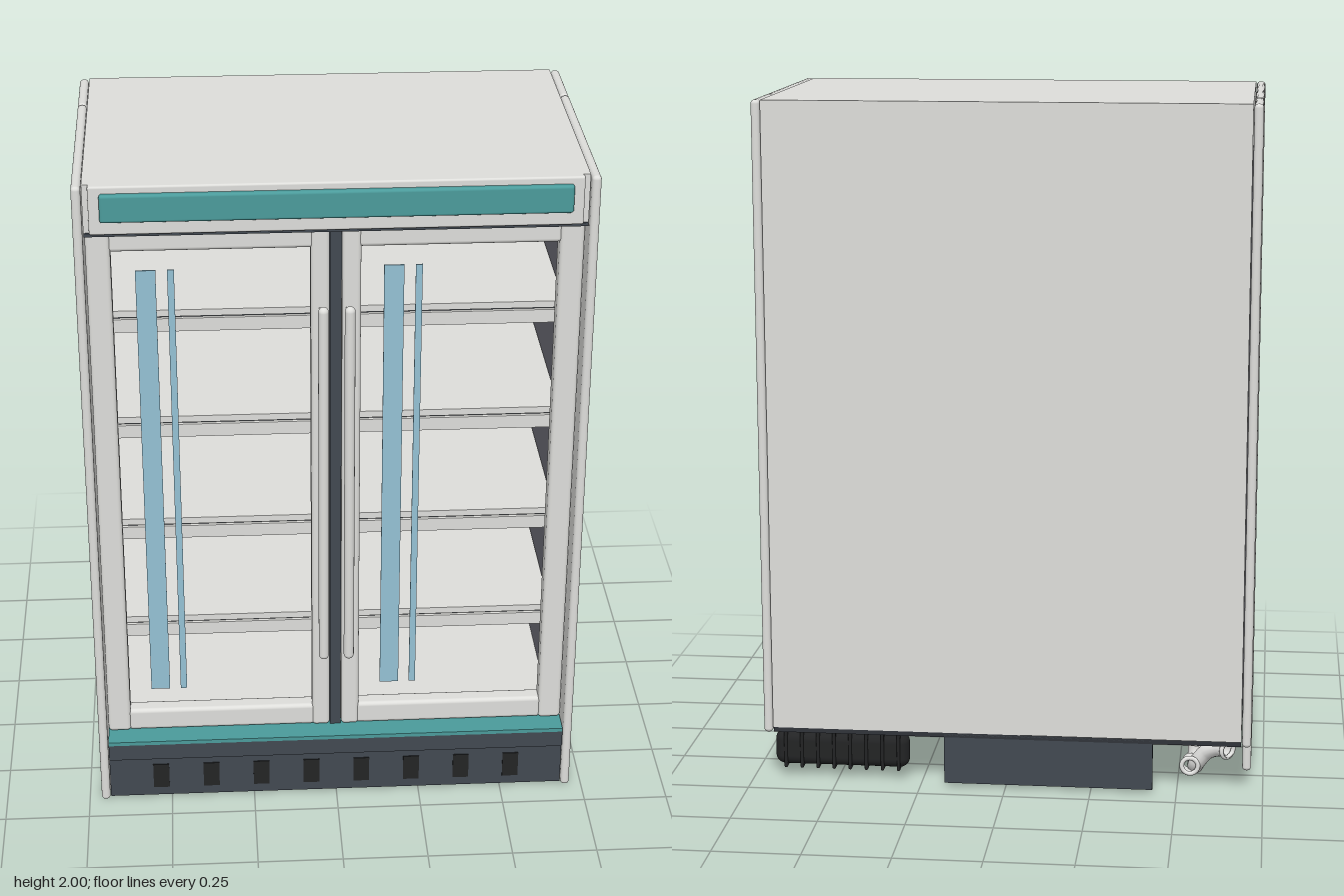
import * as THREE from 'three';
import { RoundedBoxGeometry } from 'three/addons/geometries/RoundedBoxGeometry.js';

const mat = (name, color, side = THREE.FrontSide) => {
  const m = new THREE.MeshStandardMaterial({ color, side });
  m.name = name;
  return m;
};

export function createModel() {
  const model = new THREE.Group();
  model.name = 'displayFridge';
  const shell = mat('shell grey', 0xdededb);
  const liner = mat('liner grey', 0x71717a);
  const teal = mat('teal', 0x4b9b9b);
  const kick = mat('slate', 0x424951);
  const charcoal = mat('charcoal', 0x30343a);
  const black = mat('black', 0x232425);
  const shine = mat('glass shine', 0x94c1d4);
  const plastic = mat('pipe white', 0xe4e4e2, THREE.DoubleSide);

  const add = (name, geo, material, parent = model) => {
    const mesh = new THREE.Mesh(geo, material);
    mesh.name = name;
    parent.add(mesh);
    return mesh;
  };
  // Box given by its limits, with optional rounded edges
  const box = (name, material, [x0, x1], [y0, y1], [z0, z1], r = 0, parent = model) => {
    const s = [x1 - x0, y1 - y0, z1 - z0];
    const geo = r ? new RoundedBoxGeometry(...s, 3, r) : new THREE.BoxGeometry(...s);
    geo.translate((x0 + x1) / 2, (y0 + y1) / 2, (z0 + z1) / 2);
    return add(name, geo, material, parent);
  };
  const tube = (name, material, points, r) => {
    const curve = new THREE.CatmullRomCurve3(points.map(p => new THREE.Vector3(...p)), false, 'centripetal');
    return add(name, new THREE.TubeGeometry(curve, 48, r, 14), material);
  };

  // Cabinet shell
  box('backPanel', shell, [-0.686, 0.686], [0.165, 2], [-0.434, -0.39]);
  box('roof', shell, [-0.686, 0.686], [1.86, 2], [-0.39, 0.4]);
  box('headerFront', shell, [-0.67, 0.67], [1.86, 2], [0.39, 0.418], 0.006);
  box('headerSign', teal, [-0.64, 0.64], [1.9, 1.98], [0.41, 0.434], 0.008);
  box('headerTrim', kick, [-0.685, 0.685], [1.85, 1.86], [0.28, 0.405]);
  box('base', charcoal, [-0.685, 0.685], [0.15, 0.19], [-0.43, 0.36]);
  for (const s of [-1, 1]) {
    const x = s < 0 ? [-0.714, -0.688] : [0.688, 0.714];
    box('sidePanelFront', shell, x, [0, 2], [-0.2165, 0.42], 0.011);
    box('sidePanelRear', shell, x, [0.148, 2], [-0.434, -0.2175], 0.011);
  }

  // Interior lining, open at the front
  box('linerBack', liner, [-0.66, 0.66], [0.19, 1.86], [-0.39, -0.38]);
  box('linerTop', liner, [-0.66, 0.66], [1.85, 1.859], [-0.38, 0.28]);
  for (const s of [-1, 1])
    box('linerSide', liner, s < 0 ? [-0.685, -0.65] : [0.65, 0.685], [0.19, 1.86], [-0.39, 0.3]);
  box('interiorFloor', shell, [-0.65, 0.65], [0.19, 0.25], [-0.38, 0.29]);

  // Shelves with a price rail
  for (let i = 0; i < 4; i++) {
    const y = 0.566 + i * 0.335;
    box('shelf', shell, [-0.648, 0.648], [y - 0.02, y], [-0.38, 0.282]);
    box('shelfGroove', kick, [-0.645, 0.645], [y - 0.025, y - 0.02], [0.25, 0.275]);
    box('shelfRail', shell, [-0.648, 0.648], [y - 0.065, y - 0.025], [0.25, 0.285]);
  }

  // Two doors, mirrored, with handles; the shine strips lie the same way on both
  for (const s of [-1, 1]) {
    const door = new THREE.Group();
    door.name = s < 0 ? 'rightDoor' : 'leftDoor';
    model.add(door);
    const span = (a, b) => (s < 0 ? [-b, -a] : [a, b]);
    const z = [0.295, 0.357], y = [0.207, 1.849];
    box('outerStile', shell, span(0.618, 0.686), y, z, 0.012, door);
    box('innerStile', shell, span(0.017, 0.07), y, z, 0.012, door);
    box('topRail', shell, span(0.06, 0.625), [1.78, 1.849], [0.3, 0.353], 0.012, door);
    box('bottomRail', shell, span(0.06, 0.625), [0.207, 0.278], [0.3, 0.353], 0.012, door);
    const bar = add('handle', new THREE.CapsuleGeometry(0.015, 1.12, 6, 16), shell, door);
    bar.position.set(s * 0.037, 1.045, 0.394);
    const hx = span(0.027, 0.047);
    for (const py of [0.5, 1.59])
      box('handlePost', shell, hx, [py - 0.012, py + 0.012], [0.35, 0.394], 0, door);
    const left = s < 0 ? -0.553 : 0.135;
    box('wideShine', shine, [left, left + 0.056], [0.34, 1.715], [0.328, 0.332], 0, door);
    box('narrowShine', shine, [left + 0.088, left + 0.107], [0.34, 1.715], [0.328, 0.332], 0, door);
  }
  box('centreStrip', kick, [-0.016, 0.016], [0.206, 1.85], [0.29, 0.35]);

  // Kick plate with teal ledge and vents
  box('ledge', teal, [-0.686, 0.686], [0.194, 0.206], [0.29, 0.416]);
  box('ledgeFace', kick, [-0.686, 0.686], [0.142, 0.194], [0.375, 0.416]);
  box('kickPlate', kick, [-0.686, 0.686], [0.006, 0.142], [0.385, 0.408]);
  for (let i = 0; i < 8; i++) {
    const x = -0.531 + i * 0.1517;
    box('vent', black, [x - 0.024, x + 0.024], [0.035, 0.118], [0.405, 0.411]);
  }

  // Machinery below the back
  box('rearPlate', kick, [-0.43, 0.18], [0.01, 0.16], [-0.43, -0.416]);
  box('condenser', black, [0.29, 0.69], [0.035, 0.14], [-0.4, -0.338], 0.029);
  for (let i = 0; i < 8; i++) {
    const x = 0.32 + i * 0.048;
    box('condenserFin', black, [x - 0.005, x + 0.005], [0.03, 0.145], [-0.404, -0.334], 0.0045);
  }
  tube('condenserStem', kick, [[0.62, 0.16, -0.3], [0.62, 0.08, -0.3], [0.62, 0.065, -0.315], [0.62, 0.065, -0.35]], 0.008);

  // Drain trap: bend below the base, outlet arm and a flanged stub
  tube('drainTrap', plastic, [[-0.55, 0.16, -0.235], [-0.55, 0.07, -0.235], [-0.55, 0.04, -0.25],
    [-0.55, 0.034, -0.27], [-0.555, 0.05, -0.29], [-0.585, 0.09, -0.305], [-0.62, 0.108, -0.325], [-0.65, 0.112, -0.35]], 0.024);
  const stub = add('drainStub', new THREE.CylinderGeometry(0.023, 0.023, 0.05, 20, 1, true), plastic);
  stub.rotation.x = Math.PI / 2;
  stub.position.set(-0.535, 0.048, -0.295);
  const rings = [[-0.535, 0.048, -0.318, 0], [-0.645, 0.112, -0.345, 0.8]];
  for (const [x, y, z, turn] of rings) {
    const ring = add('drainRing', new THREE.TorusGeometry(0.024, 0.007, 8, 20), plastic);
    ring.position.set(x, y, z);
    ring.rotation.y = turn;
  }
  const collar = add('drainCollar', new THREE.CylinderGeometry(0.03, 0.03, 0.02, 20), plastic);
  collar.position.set(-0.55, 0.1, -0.235);

  return model;
}
